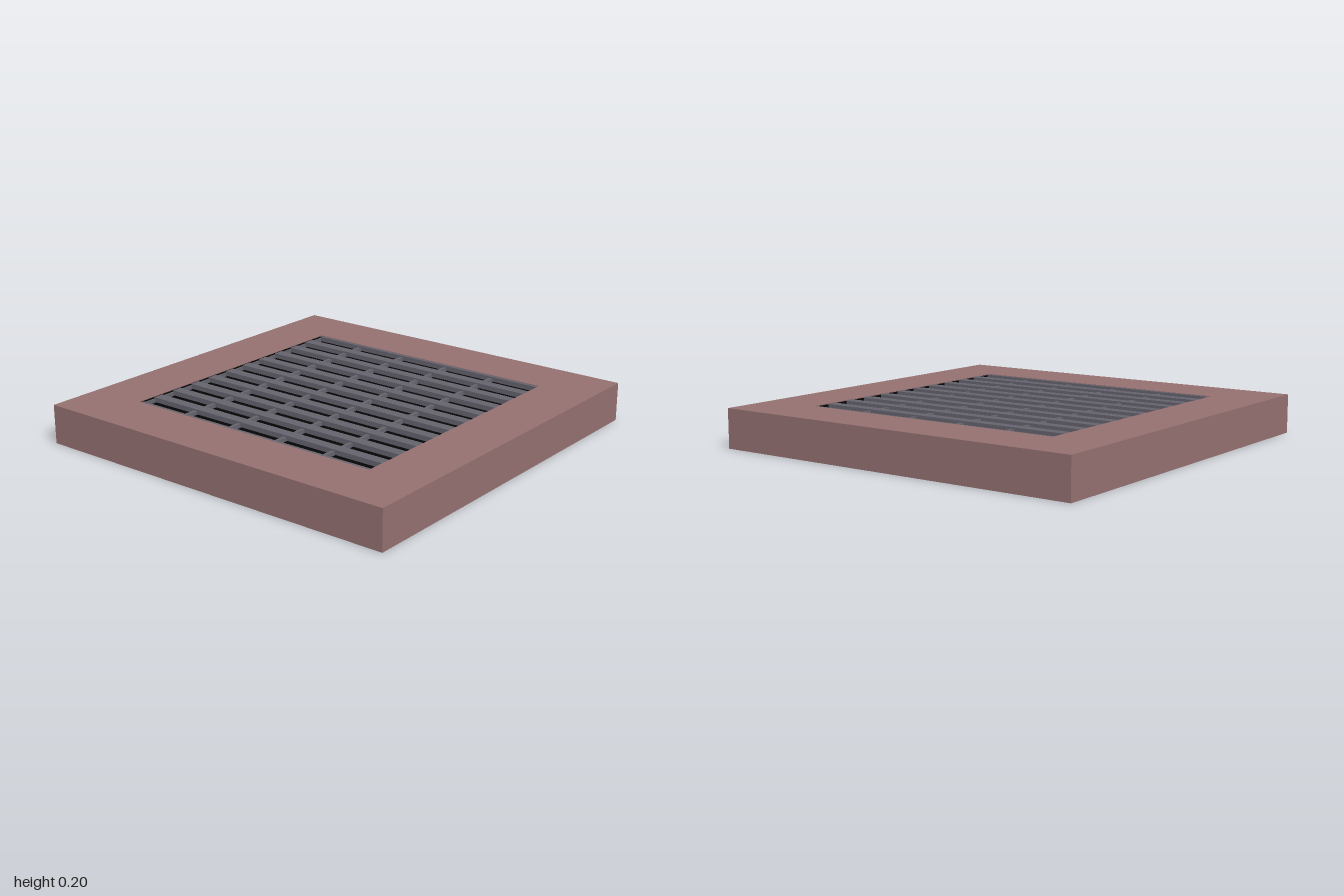
import * as THREE from 'three';

const stone = new THREE.MeshStandardMaterial({ color: 0x947070 });
const iron = new THREE.MeshStandardMaterial({ color: 0x64626c });
const dark = new THREE.MeshStandardMaterial({ color: 0x050505 });

const HALF = 0.708; // half width of the opening
const FLOOR = 0.08; // height of the pit floor

function box(name, material, size, position) {
  const mesh = new THREE.Mesh(new THREE.BoxGeometry(...size), material);
  mesh.name = name;
  mesh.position.set(...position);
  return mesh;
}

function square(path, h) {
  path.moveTo(-h, -h);
  path.lineTo(h, -h);
  path.lineTo(h, h);
  path.lineTo(-h, h);
  path.closePath();
  return path;
}

export function createModel() {
  const model = new THREE.Group();
  model.name = 'floorGrate';

  // Stone surround with a square opening
  const outline = square(new THREE.Shape(), 1);
  outline.holes.push(square(new THREE.Path(), HALF));
  const ring = new THREE.ExtrudeGeometry(outline, { depth: 0.2, bevelEnabled: false });
  ring.rotateX(-Math.PI / 2);
  const surround = new THREE.Mesh(ring, stone);
  surround.name = 'surround';
  model.add(surround);

  // Slab closing the underside, with the black pit floor on it
  const w = HALF * 2;
  model.add(box('bottomSlab', stone, [w, FLOOR - 0.01, w], [0, (FLOOR - 0.01) / 2, 0]));
  model.add(box('pitFloor', dark, [w, 0.01, w], [0, FLOOR - 0.005, 0]));

  // Thin black walls lining the pit
  const wallHeight = 0.196 - FLOOR;
  for (const side of [-1, 1]) {
    const offset = side * (HALF - 0.002);
    const y = FLOOR + wallHeight / 2;
    model.add(box('pitSideWall', dark, [0.004, wallHeight, w], [offset, y, 0]));
    model.add(box('pitEndWall', dark, [w, wallHeight, 0.004], [0, y, offset]));
  }

  const grate = new THREE.Group();
  grate.name = 'grate';
  model.add(grate);

  // Wide flat bars running front to back; the outer two sink into the surround
  for (let i = 0; i < 12; i++) {
    grate.add(box('bar', iron, [0.053, 0.025, 1.42], [(i - 5.5) * 0.13, 0.1855, 0.01]));
  }

  // Thin rods running across, just below the tops of the bars
  for (let i = 0; i < 6; i++) {
    grate.add(box('crossBar', iron, [1.44, 0.02, 0.018], [0, 0.18, -0.705 + i * 0.284]));
  }
  return model;
}
